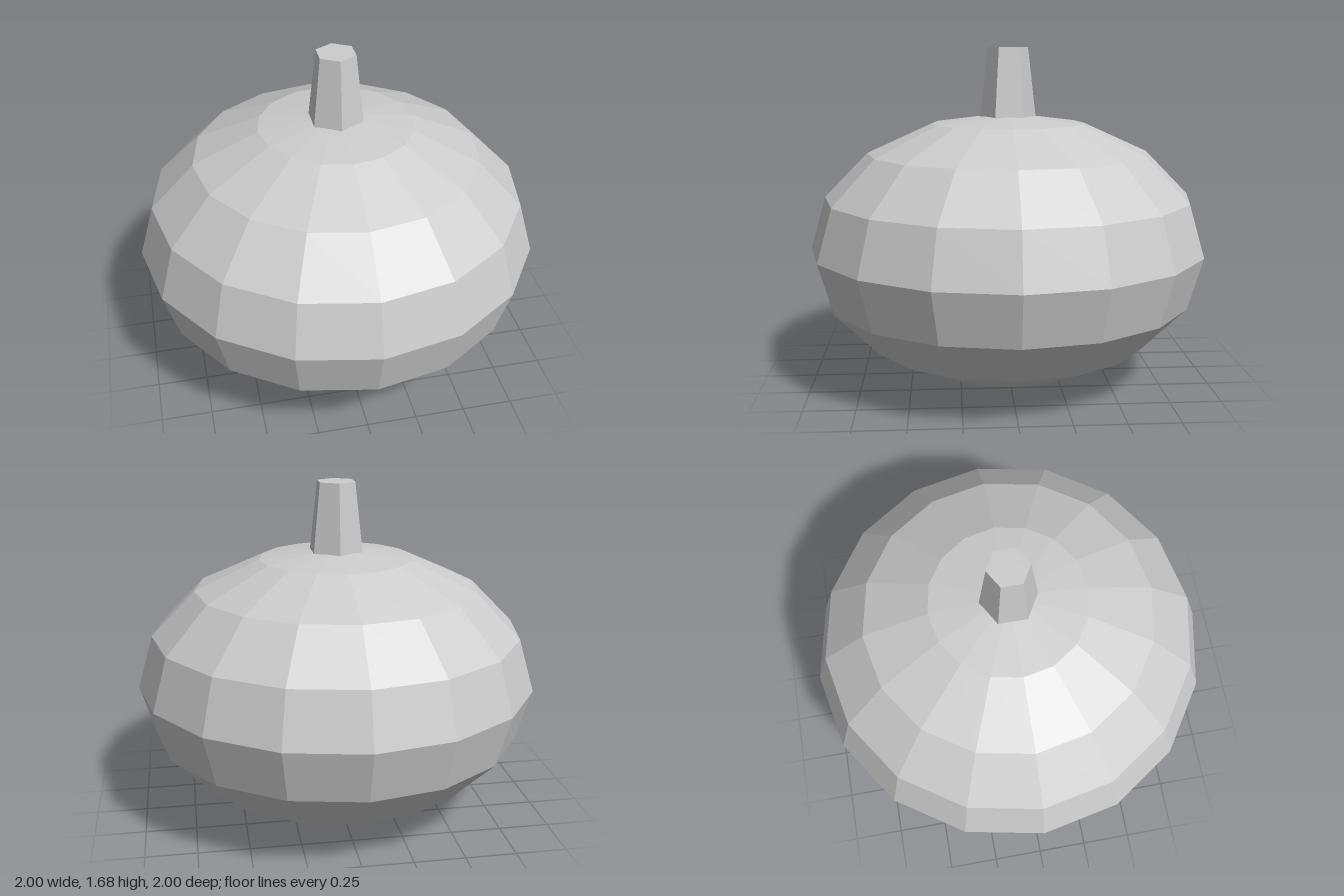
import * as THREE from 'three';

export function createModel() {
  const group = new THREE.Group();
  const grey = new THREE.MeshStandardMaterial({ color: 0xcccccc, flatShading: true });
  grey.name = 'light grey';

  // Squashed round body
  const halfHeight = 0.68;
  const bodyGeometry = new THREE.SphereGeometry(1, 16, 8);
  bodyGeometry.scale(1, halfHeight, 1);
  const body = new THREE.Mesh(bodyGeometry, grey);
  body.name = 'body';
  body.position.y = halfHeight;
  group.add(body);

  // Tapered six-sided stem with its corners facing front and back
  const stemBase = 1.34, stemTop = 1.685;
  const stem = new THREE.Mesh(
    new THREE.CylinderGeometry(0.1, 0.14, stemTop - stemBase, 6), grey);
  stem.name = 'stem';
  stem.position.y = (stemBase + stemTop) / 2;
  group.add(stem);

  return group;
}
